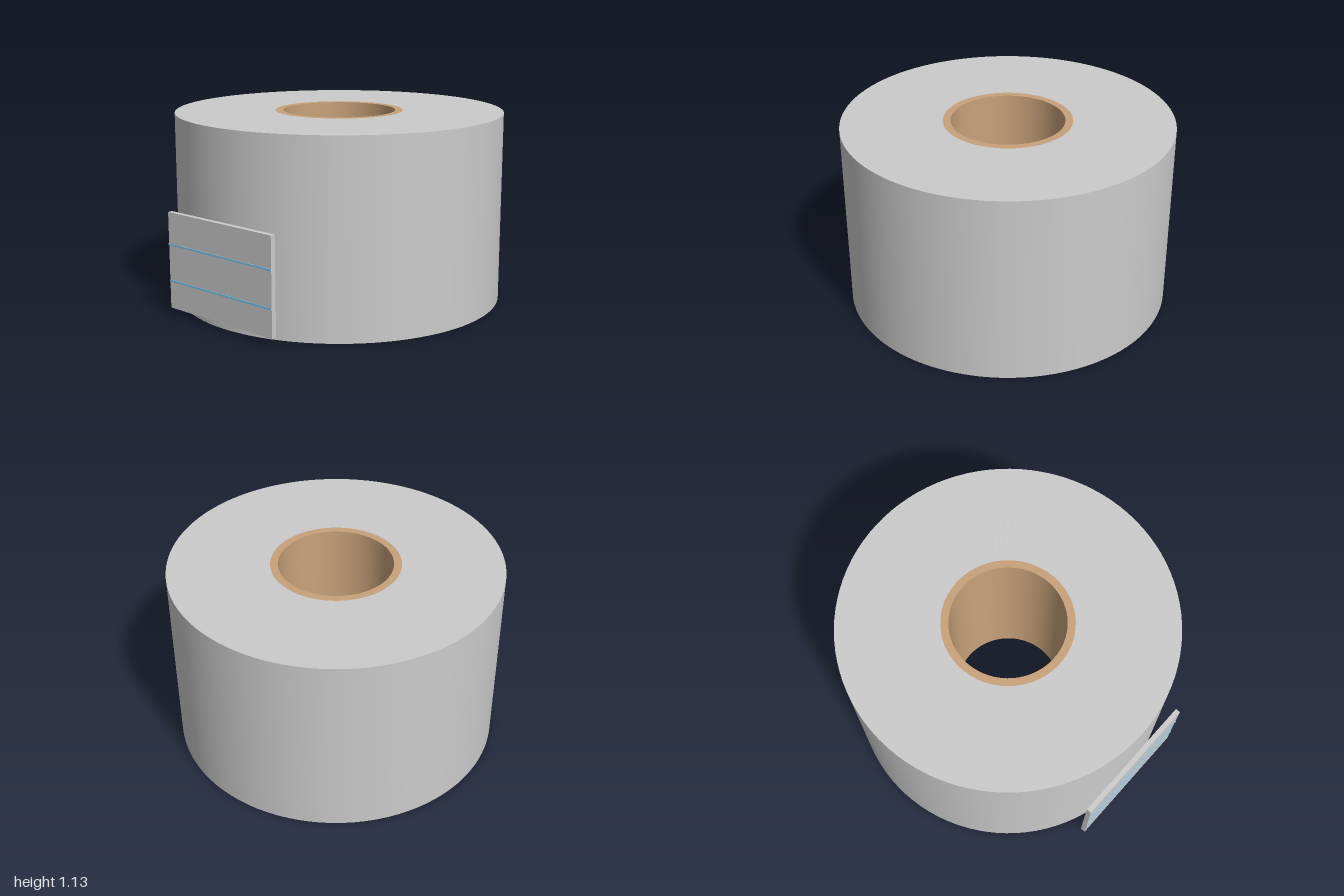
import * as THREE from 'three';

const HEIGHT = 1.135, ROLL_R = 0.983, CORE_OUT = 0.383, CORE_IN = 0.337, SEG = 96;

export function createModel() {
  const model = new THREE.Group();
  const paper = new THREE.MeshStandardMaterial({ color: 0xcccccc });
  const card = new THREE.MeshStandardMaterial({ color: 0xc8a27a, side: THREE.DoubleSide });
  const blue = new THREE.MeshStandardMaterial({ color: 0x7cc4ee });

  const add = (parent, name, geometry, material, x = 0, y = 0, z = 0) => {
    const mesh = new THREE.Mesh(geometry, material);
    mesh.name = name;
    mesh.position.set(x, y, z);
    parent.add(mesh);
  };
  const tube = (r) => new THREE.CylinderGeometry(r, r, HEIGHT, SEG, 1, true);
  const ring = (inner, outer, turn) => new THREE.RingGeometry(inner, outer, SEG).rotateX(turn);

  // Wound roll: outer wall and two flat end faces
  const roll = new THREE.Group();
  roll.name = 'roll';
  roll.position.z = -0.017;
  add(roll, 'rollWall', tube(ROLL_R), paper, 0, HEIGHT / 2);
  add(roll, 'rollTop', ring(CORE_OUT, ROLL_R, -Math.PI / 2), paper, 0, HEIGHT);
  add(roll, 'rollBottom', ring(CORE_OUT, ROLL_R, Math.PI / 2), paper);

  // Cardboard core: two nested walls joined at the top, open between them below
  add(roll, 'coreOuterWall', tube(CORE_OUT), card, 0, HEIGHT / 2);
  add(roll, 'coreInnerWall', tube(CORE_IN), card, 0, HEIGHT / 2);
  add(roll, 'coreTopRim', ring(CORE_IN, CORE_OUT, -Math.PI / 2), card, 0, HEIGHT);
  model.add(roll);

  // Flat label plate with two thin raised stripes
  const label = new THREE.Group();
  label.name = 'label';
  add(label, 'labelPlate', new THREE.BoxGeometry(0.82, 0.57, 0.03), paper, 0, 0.33, 0.981);
  for (const y of [0.21, 0.426]) {
    add(label, 'labelStripe', new THREE.BoxGeometry(0.82, 0.011, 0.008), blue, 0, y, 0.996);
  }
  model.add(label);

  return model;
}
